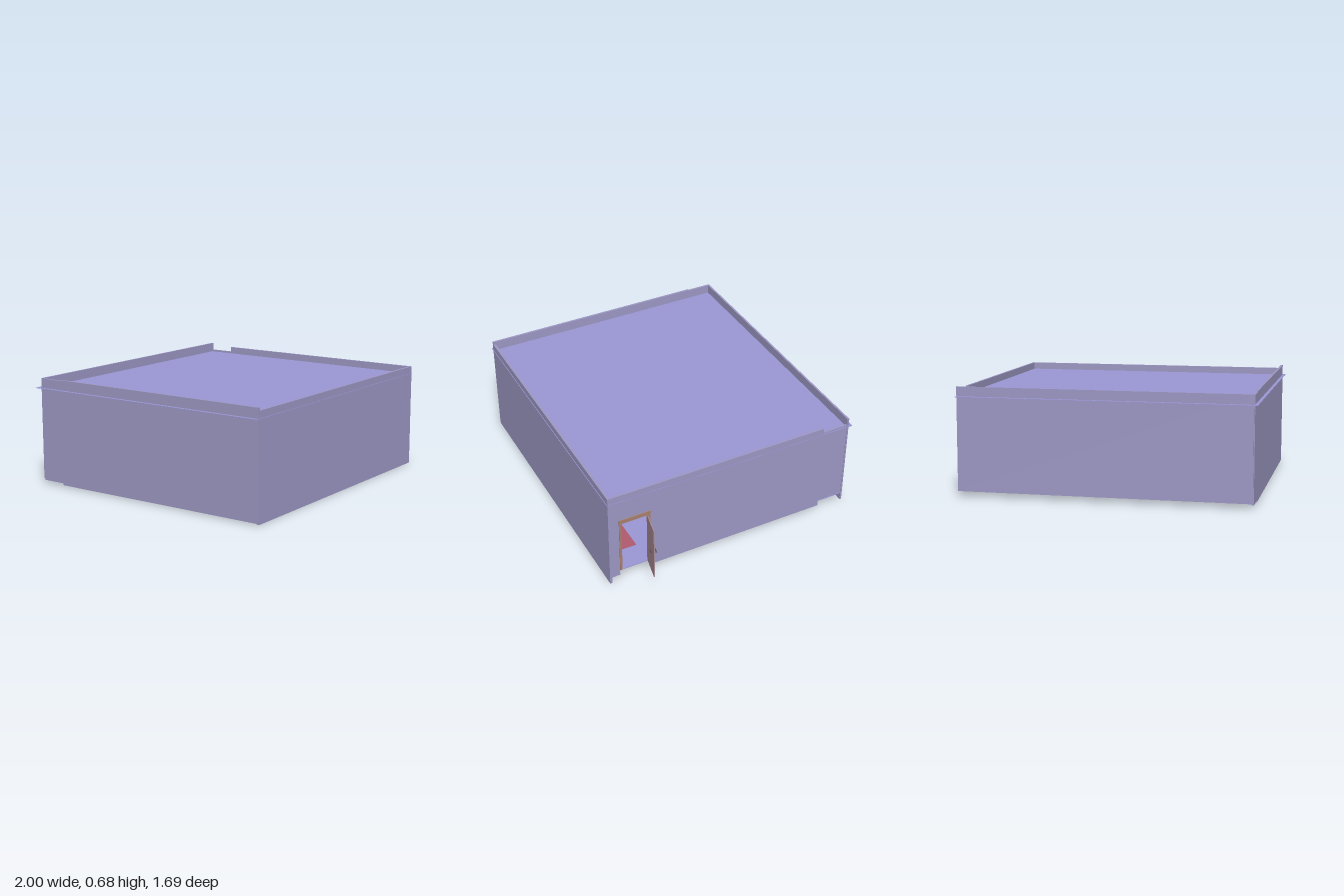
import * as THREE from 'three';

const mat = (color) => new THREE.MeshStandardMaterial({ color, flatShading: true, side: THREE.DoubleSide });

export function createModel() {
  const wall = mat(0x9d98c4), slab = mat(0x9a96d4), wood = mat(0xa98c96);
  const trim = mat(0xa9806e), carpet = mat(0xb05a6e), metal = mat(0x55505a);
  const model = new THREE.Group();
  model.name = 'building';

  // Box given by its lower and upper corners
  const box = (name, material, [x0, y0, z0], [x1, y1, z1], parent = model) => {
    const mesh = new THREE.Mesh(new THREE.BoxGeometry(x1 - x0, y1 - y0, z1 - z0), material);
    mesh.position.set((x0 + x1) / 2, (y0 + y1) / 2, (z0 + z1) / 2);
    mesh.name = name;
    parent.add(mesh);
    return mesh;
  };

  // Outer walls, rising above the roof as a parapet
  box('frontWall', wall, [-0.97, 0, 0.822], [0.848, 0.665, 0.838]);
  box('backWall', wall, [-0.975, 0.03, -0.824], [0.848, 0.68, -0.812]);
  box('leftWall', wall, [-0.98, 0.008, -0.655], [-0.966, 0.684, 0.838]);
  box('leftWallEnd', wall, [-0.98, 0.02, -0.812], [-0.966, 0.679, -0.655]);
  box('rightWallEnd', wall, [0.832, 0.08, -0.812], [0.845, 0.632, -0.64]);

  // Right wall with a notch for the doorway
  const outline = [
    [-0.64, 0.045], [0.562, 0.045], [0.562, 0.465], [0.77, 0.465],
    [0.77, 0.045], [0.822, 0.045], [0.822, 0.665], [-0.64, 0.665],
  ];
  const shape = new THREE.Shape(outline.map(([z, y]) => new THREE.Vector2(z, y)));
  const sideGeometry = new THREE.ExtrudeGeometry(shape, { depth: 0.015, bevelEnabled: false });
  sideGeometry.rotateY(-Math.PI / 2);
  const rightWall = new THREE.Mesh(sideGeometry, wall);
  rightWall.position.x = 0.848;
  rightWall.name = 'rightWall';
  model.add(rightWall);

  // Thin floor and overhanging roof
  box('floor', slab, [-0.97, 0.081, -0.815], [0.848, 0.085, 0.825]);
  box('roof', slab, [-1, 0.617, -0.85], [0.85, 0.62, 0.842]);

  // Carpet runners forming a T
  box('longRunner', carpet, [-0.13, 0.08, -0.7], [0.07, 0.086, 0.585]);
  box('crossRunner', carpet, [-0.78, 0.08, 0.585], [0.69, 0.086, 0.735]);

  // Door frame
  for (const [z0, z1] of [[0.562, 0.577], [0.755, 0.77]]) {
    box('doorJamb', trim, [0.828, 0.085, z0], [0.852, 0.465, z1]);
  }
  box('doorHead', trim, [0.828, 0.45, 0.577], [0.852, 0.465, 0.755]);
  box('doorLintel', trim, [0.828, 0.465, 0.562], [0.854, 0.478, 0.77]);

  // Open door, hinged on the rear jamb
  const door = new THREE.Group();
  door.name = 'door';
  door.position.set(0.85, 0, 0.582);
  door.rotation.y = -Math.atan2(0.031, 0.148);
  model.add(door);
  box('doorLeaf', wood, [0, 0.085, -0.003], [0.153, 0.45, 0.003], door);
  for (const side of [-1, 1]) {
    const spindle = new THREE.Mesh(new THREE.CylinderGeometry(0.003, 0.003, 0.014, 8), metal);
    spindle.rotation.x = Math.PI / 2;
    spindle.position.set(0.14, 0.275, side * 0.009);
    spindle.name = 'handleSpindle';
    door.add(spindle);
    const lever = new THREE.Mesh(new THREE.CylinderGeometry(0.003, 0.003, 0.034, 8), metal);
    lever.rotation.z = Math.PI / 2;
    lever.position.set(0.126, 0.275, side * 0.016);
    lever.name = 'handleLever';
    door.add(lever);
  }
  return model;
}
